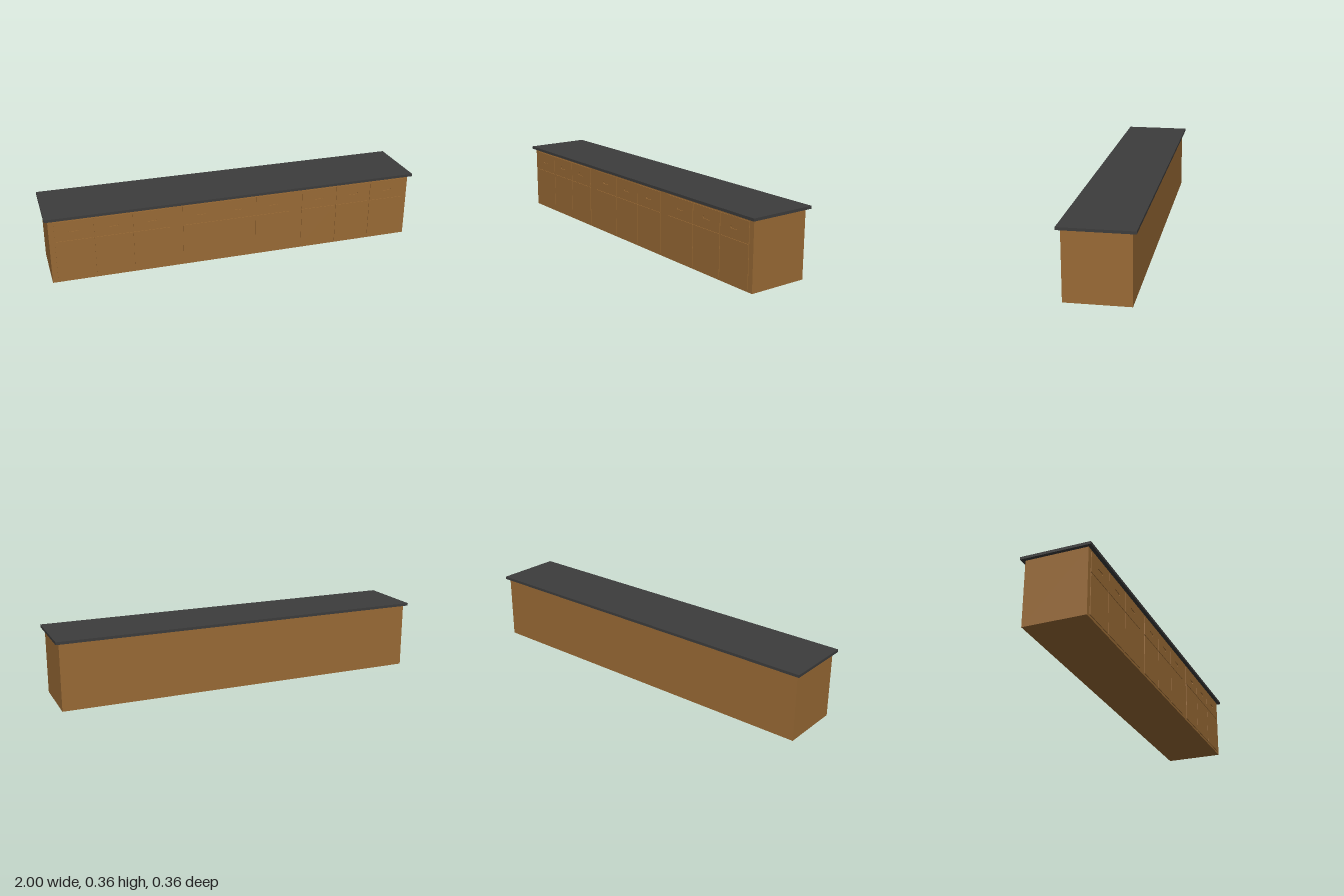
import * as THREE from 'three';

const wood = new THREE.MeshStandardMaterial({ name: 'brown wood', color: 0x996a35 });
const stone = new THREE.MeshStandardMaterial({ name: 'dark worktop', color: 0x3c3c3c });

const FRONT = 0.161;      // front plane of the carcass
const THICK = 0.0035;     // panel thickness
const PITCH = 0.1988;     // width of one cabinet bay
const GAP = 0.004;        // joint between panels

function box(name, w, h, d, y, material) {
  const mesh = new THREE.Mesh(new THREE.BoxGeometry(w, h, d), material);
  mesh.name = name;
  mesh.position.y = y + h / 2;
  return mesh;
}

// Front panel, optionally with a rounded slot as a recessed finger pull
function panel(name, w, h, withPull) {
  const shape = new THREE.Shape([
    new THREE.Vector2(-w / 2, -h / 2), new THREE.Vector2(w / 2, -h / 2),
    new THREE.Vector2(w / 2, h / 2), new THREE.Vector2(-w / 2, h / 2),
  ]);
  if (withPull) {
    const slot = new THREE.Path();
    slot.absarc(0.019, 0, 0.007, Math.PI / 2, -Math.PI / 2, true);
    slot.absarc(-0.019, 0, 0.007, -Math.PI / 2, Math.PI / 2, true);
    slot.closePath();
    shape.holes.push(slot);
  }
  const geometry = new THREE.ExtrudeGeometry(shape, { depth: THICK, bevelEnabled: false, curveSegments: 8 });
  const mesh = new THREE.Mesh(geometry, wood);
  mesh.name = name;
  return mesh;
}

export function createModel() {
  const model = new THREE.Group();
  model.name = 'longCounter';

  // Carcass and overhanging worktop
  model.add(box('carcass', 1.964, 0.348, FRONT * 2, 0, wood));
  model.add(box('worktop', 2, 0.014, 0.36, 0.348, stone));

  // Three cabinets of three bays, each bay a drawer above a door
  for (const centre of [-0.658, 0, 0.658]) {
    const cabinet = new THREE.Group();
    cabinet.name = 'cabinetFront';
    cabinet.position.set(centre, 0, FRONT);
    for (let i = -1; i <= 1; i++) {
      const drawer = panel('drawerFront', PITCH - GAP, 0.104, true);
      drawer.position.set(i * PITCH, 0.283, 0);
      const door = panel('door', PITCH - GAP, 0.214, false);
      door.position.set(i * PITCH, 0.12, 0);
      cabinet.add(drawer, door);
    }
    model.add(cabinet);
  }
  return model;
}
